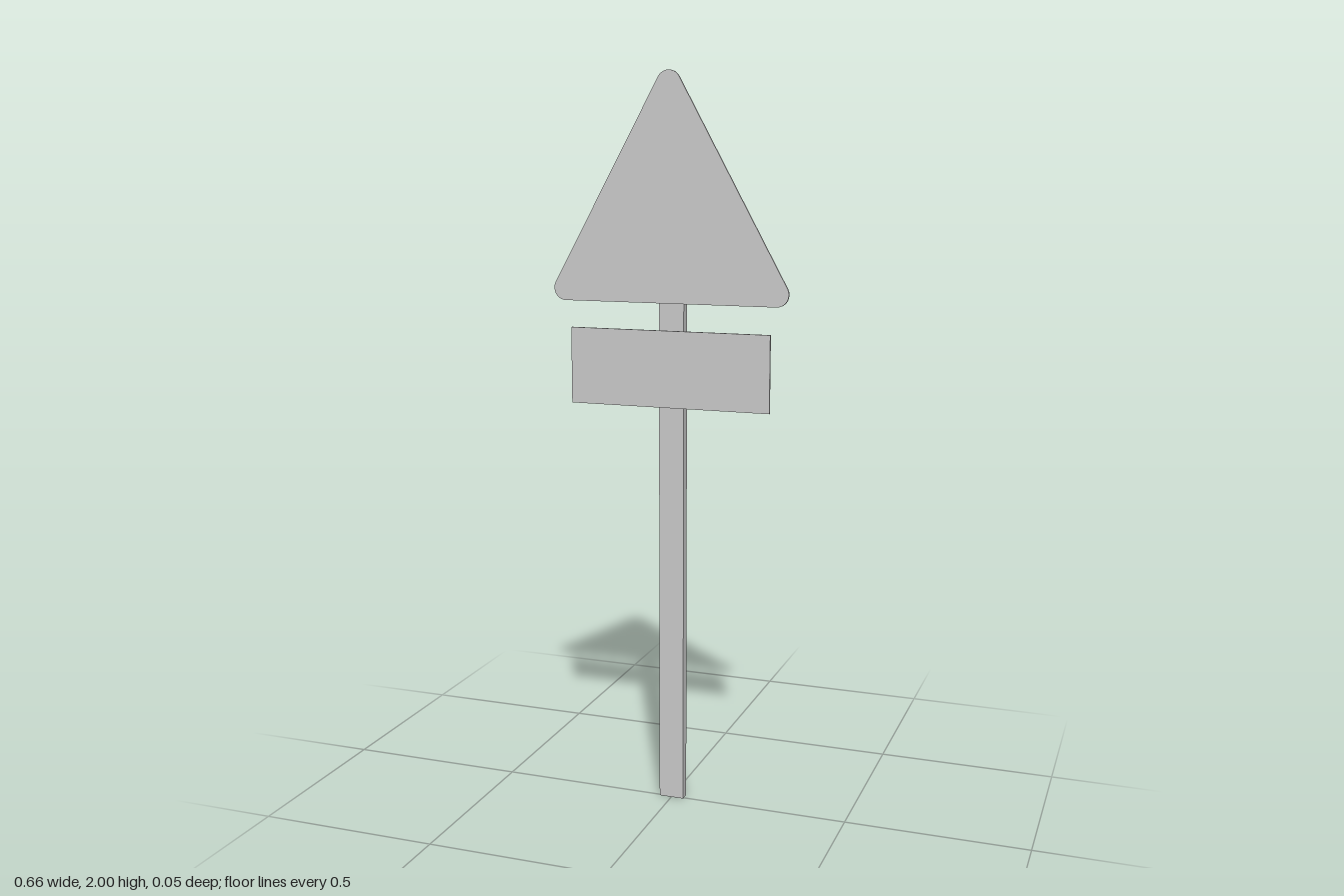
import * as THREE from 'three';

const material = new THREE.MeshStandardMaterial({ color: 0xcccccc });
const PLATE_BACK = 0.0215, PLATE_DEPTH = 0.006;

function add(parent, name, geometry, x = 0, y = 0, z = 0) {
  const mesh = new THREE.Mesh(geometry, material);
  mesh.name = name;
  mesh.position.set(x, y, z);
  parent.add(mesh);
  return mesh;
}

// Triangle outline with rounded corners: three arcs joined by straight edges
function roundedTriangle(halfWidth, bottom, top, r) {
  const cx = halfWidth - r, low = bottom + r, high = top - r;
  const tilt = Math.PI / 2 - Math.atan2(high - low, cx);
  const shape = new THREE.Shape();
  shape.absarc(cx, low, r, -Math.PI / 2, tilt, false);
  shape.absarc(0, high, r, tilt, Math.PI - tilt, false);
  shape.absarc(-cx, low, r, Math.PI - tilt, Math.PI * 1.5, false);
  shape.closePath();
  return shape;
}

// Bent strap clamp that wraps the back of the post, with a bolt on each flange
function createClamp(y) {
  const clamp = new THREE.Group();
  clamp.name = 'clamp';
  clamp.position.y = y;
  const height = 0.04, front = PLATE_BACK, flange = 0.0147, back = -0.0275, inner = -0.0215;
  const half = [[0.035, inner], [0.035, front], [0.099, front], [0.099, flange], [0.042, flange], [0.042, back]];
  const outline = [...half, ...half.map(([x, z]) => [-x, z]).reverse()];
  // Profile is drawn in x and -z, then stood up along y
  const shape = new THREE.Shape(outline.map(([x, z]) => new THREE.Vector2(x, -z)));
  const strap = new THREE.ExtrudeGeometry(shape, { depth: height, bevelEnabled: false });
  strap.rotateX(-Math.PI / 2).translate(0, -height / 2, 0);
  add(clamp, 'strap', strap);
  for (const side of [-1, 1]) {
    const bolt = new THREE.CylinderGeometry(0.0118, 0.0118, 0.008, 16).rotateX(Math.PI / 2);
    add(clamp, 'bolt', bolt, side * 0.0705, 0, 0.011);
  }
  return clamp;
}

export function createModel() {
  const model = new THREE.Group();
  model.name = 'roadSign';

  // Flat rectangular post
  add(model, 'post', new THREE.BoxGeometry(0.07, 1.89, 0.027), 0, 0.945, -0.008);

  // Triangular warning plate
  const triangle = new THREE.ExtrudeGeometry(roundedTriangle(0.328, 1.4, 2, 0.033), {
    depth: PLATE_DEPTH, bevelEnabled: false, curveSegments: 10,
  });
  add(model, 'trianglePlate', triangle, 0, 0, PLATE_BACK);

  // Rectangular plate below
  add(model, 'lowerPlate', new THREE.BoxGeometry(0.56, 0.207, PLATE_DEPTH), 0, 1.224, PLATE_BACK + PLATE_DEPTH / 2);

  // Two clamps hold the triangle, one holds the lower plate
  for (const y of [1.75, 1.54, 1.224]) model.add(createClamp(y));

  return model;
}
